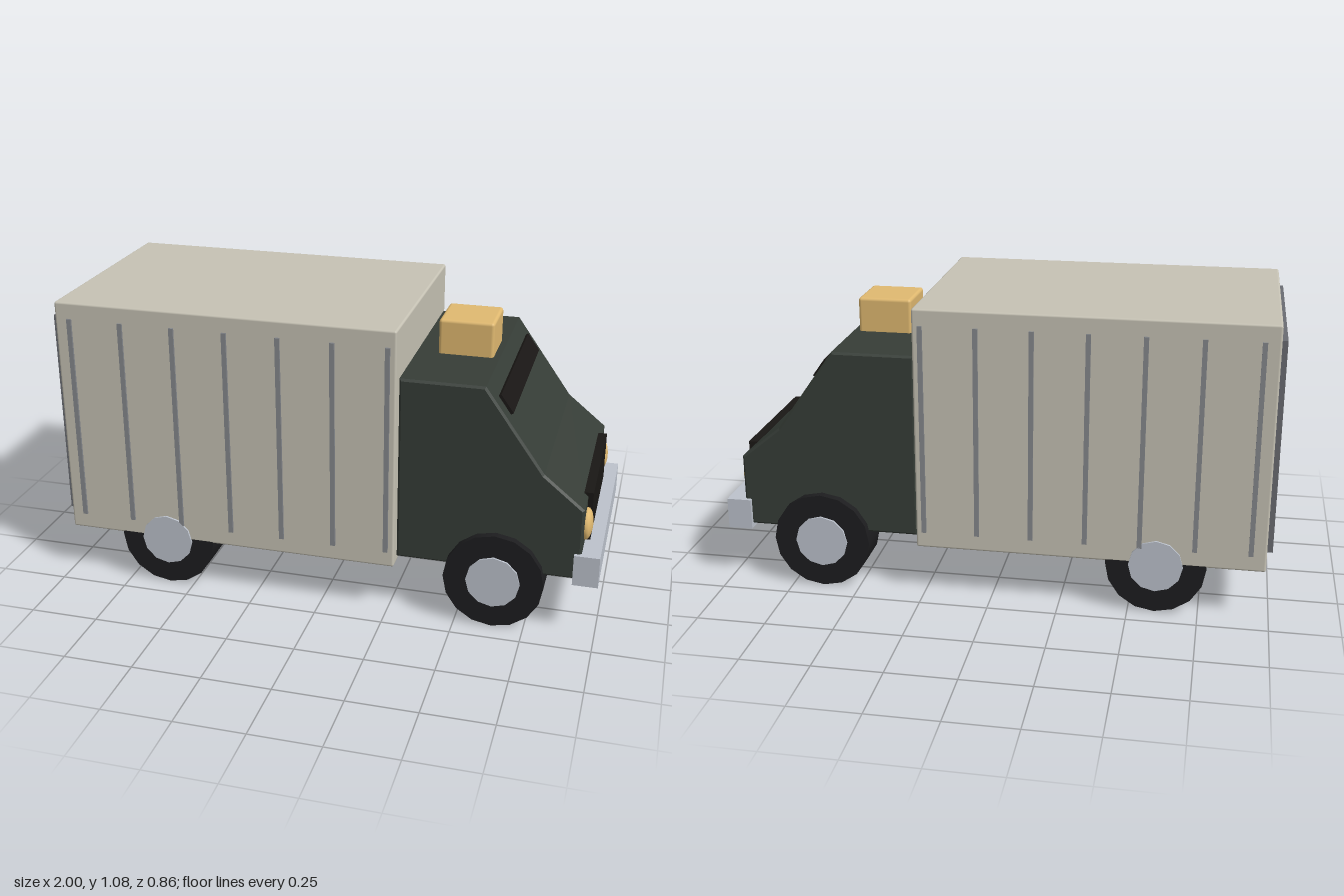
import * as THREE from 'three';
import { RoundedBoxGeometry } from 'three/addons/geometries/RoundedBoxGeometry.js';

const mat = (color, flatShading = false) => new THREE.MeshStandardMaterial({ color, flatShading });

export function createModel() {
  const truck = new THREE.Group();
  truck.name = 'boxTruck';

  const cargoMat = mat(0xc6c2b4), cabMat = mat(0x363d37, true), amber = mat(0xe0b970);
  const rubber = mat(0x1d1d1f), steel = mat(0xbcc2cc), ribMat = mat(0x85888c);
  const doorMat = mat(0x6a6c72), dark = mat(0x1a1715);

  function add(name, geometry, material, x, y, z, parent = truck) {
    const mesh = new THREE.Mesh(geometry, material);
    mesh.name = name;
    mesh.position.set(x, y, z);
    parent.add(mesh);
    return mesh;
  }
  // Box given by its limits on each axis
  function block(name, material, [x0, x1], [y0, y1], [z0, z1], radius = 0) {
    const size = [x1 - x0, y1 - y0, z1 - z0];
    const geo = radius ? new RoundedBoxGeometry(...size, 2, radius) : new THREE.BoxGeometry(...size);
    return add(name, geo, material, (x0 + x1) / 2, (y0 + y1) / 2, (z0 + z1) / 2);
  }

  // Cargo box with rear door and vertical side ribs
  block('cargoBox', cargoMat, [-0.98, 0.275], [0.185, 1.08], [-0.42, 0.42], 0.008);
  block('rearDoor', doorMat, [-1, -0.97], [0.25, 1.02], [-0.39, 0.39]);
  for (let i = 0; i < 7; i++) {
    const x = -0.925 + i * 0.195;
    for (const s of [-1, 1]) {
      add('sideRib', new THREE.BoxGeometry(0.017, 0.775, 0.015), ribMat, x, 0.633, s * 0.42);
    }
  }

  // Cab: side profile extruded across the width, edges lightly bevelled
  const profile = new THREE.Shape([
    [0.278, 0.215], [0.935, 0.215], [0.935, 0.482], [0.79, 0.6], [0.577, 0.9], [0.278, 0.9],
  ].map(([x, y]) => new THREE.Vector2(x, y)));
  const bevel = 0.008;
  const cabGeo = new THREE.ExtrudeGeometry(profile, {
    depth: 0.78 - 2 * bevel, bevelEnabled: true, bevelSize: bevel,
    bevelThickness: bevel, bevelOffset: -bevel, bevelSegments: 1,
  });
  add('cab', cabGeo, cabMat, 0, 0, -0.39 + bevel);

  // Windscreen strip lying on the sloped front
  const screen = add('windscreen', new THREE.BoxGeometry(0.02, 0.078, 0.66), dark, 0.636, 0.818, 0);
  screen.rotation.z = Math.atan2(0.213, 0.3);

  // Roof lamp, grille, bumper
  block('roofLamp', amber, [0.355, 0.555], [0.89, 1.028], [-0.102, 0.102], 0.012);
  block('grille', dark, [0.92, 0.953], [0.27, 0.497], [-0.27, 0.27]);
  block('bumper', steel, [0.91, 1], [0.2, 0.315], [-0.405, 0.405]);

  // Flattened round headlights
  for (const s of [-1, 1]) {
    const lamp = add('headlight', new THREE.SphereGeometry(0.058, 12, 10), amber, 0.938, 0.393, s * 0.3);
    lamp.scale.x = 0.4;
  }

  // Wheels: tyre with a slightly wider hub
  const tyreGeo = new THREE.CylinderGeometry(0.18, 0.18, 0.149, 16).rotateX(Math.PI / 2);
  const hubGeo = new THREE.CylinderGeometry(0.097, 0.097, 0.165, 12).rotateX(Math.PI / 2);
  for (const x of [-0.595, 0.635]) {
    for (const s of [-1, 1]) {
      const wheel = new THREE.Group();
      wheel.name = x > 0 ? 'frontWheel' : 'rearWheel';
      wheel.position.set(x, 0.18, s * 0.345);
      add('tyre', tyreGeo, rubber, 0, 0, 0, wheel);
      add('hub', hubGeo, steel, 0, 0, 0, wheel);
      truck.add(wheel);
    }
  }
  return truck;
}
